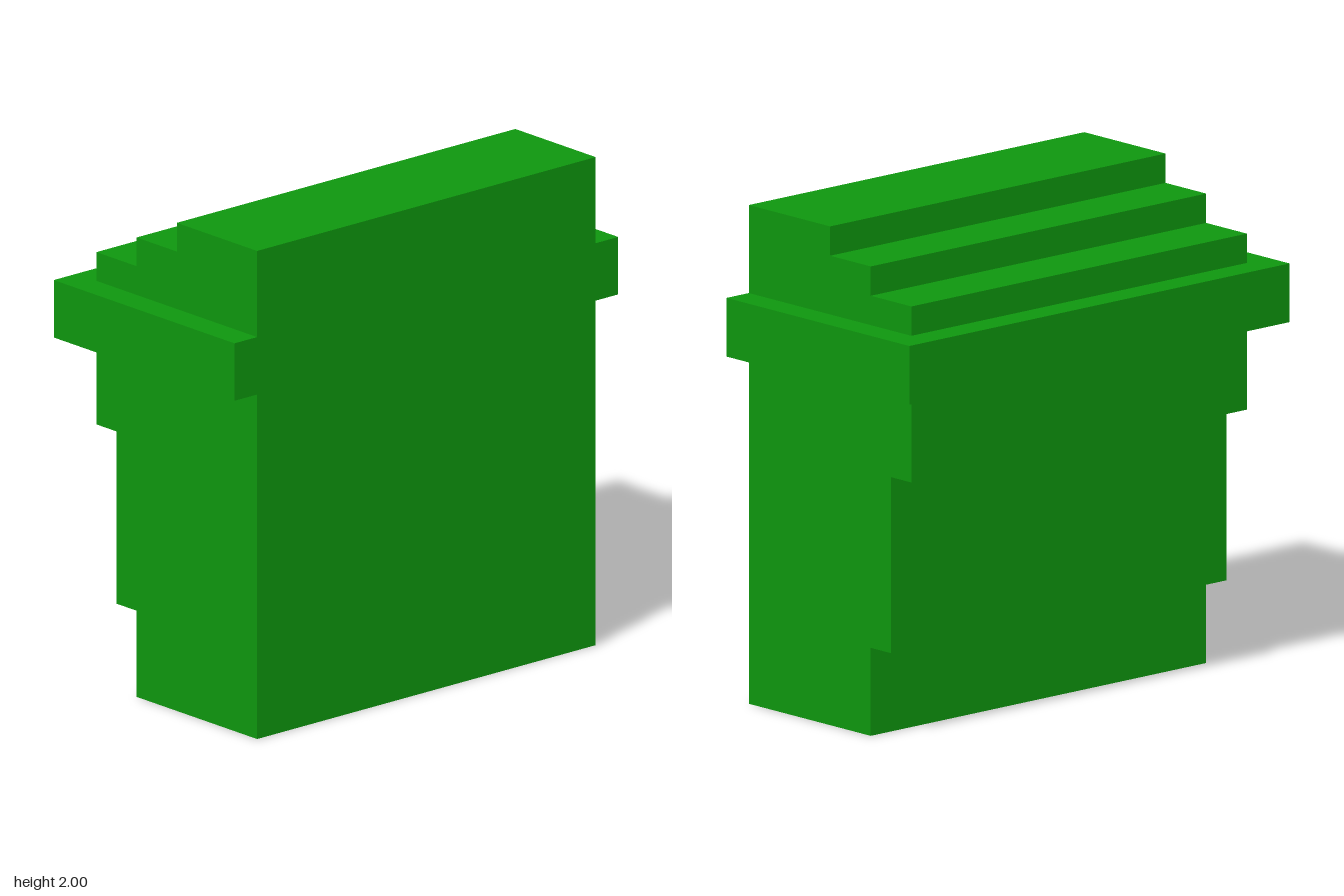
import * as THREE from 'three';

const U = 2 / 17; // one step of the stepped profile
const BACK = 4.5; // flat side plane, in steps

export function createModel() {
  const group = new THREE.Group();
  const green = new THREE.MeshStandardMaterial({ color: 0x0e960e });
  green.name = 'green';

  // Extrudes an x/y profile (in steps) symmetrically along z
  function addProfile(name, points, halfDepth) {
    const shape = new THREE.Shape(points.map(([x, y]) => new THREE.Vector2(x * U, y * U)));
    const geometry = new THREE.ExtrudeGeometry(shape, { depth: 2 * halfDepth * U, bevelEnabled: false });
    geometry.translate(0, 0, -halfDepth * U);
    const mesh = new THREE.Mesh(geometry, green);
    mesh.name = name;
    group.add(mesh);
  }

  // Lower body, widening upward in steps
  addProfile('steppedBody', [
    [BACK, 0], [BACK, 12], [-3.5, 12], [-3.5, 9],
    [-2.5, 9], [-2.5, 3], [-1.5, 3], [-1.5, 0],
  ], 7.5);

  // Projecting ledge on three sides
  addProfile('ledge', [[BACK, 12], [BACK, 14], [-4.5, 14], [-4.5, 12]], 8.5);

  // Stepped top, receding toward the flat side
  addProfile('steppedTop', [
    [BACK, 14], [BACK, 17], [0.5, 17], [0.5, 16],
    [-1.5, 16], [-1.5, 15], [-3.5, 15], [-3.5, 14],
  ], 7.5);

  return group;
}
